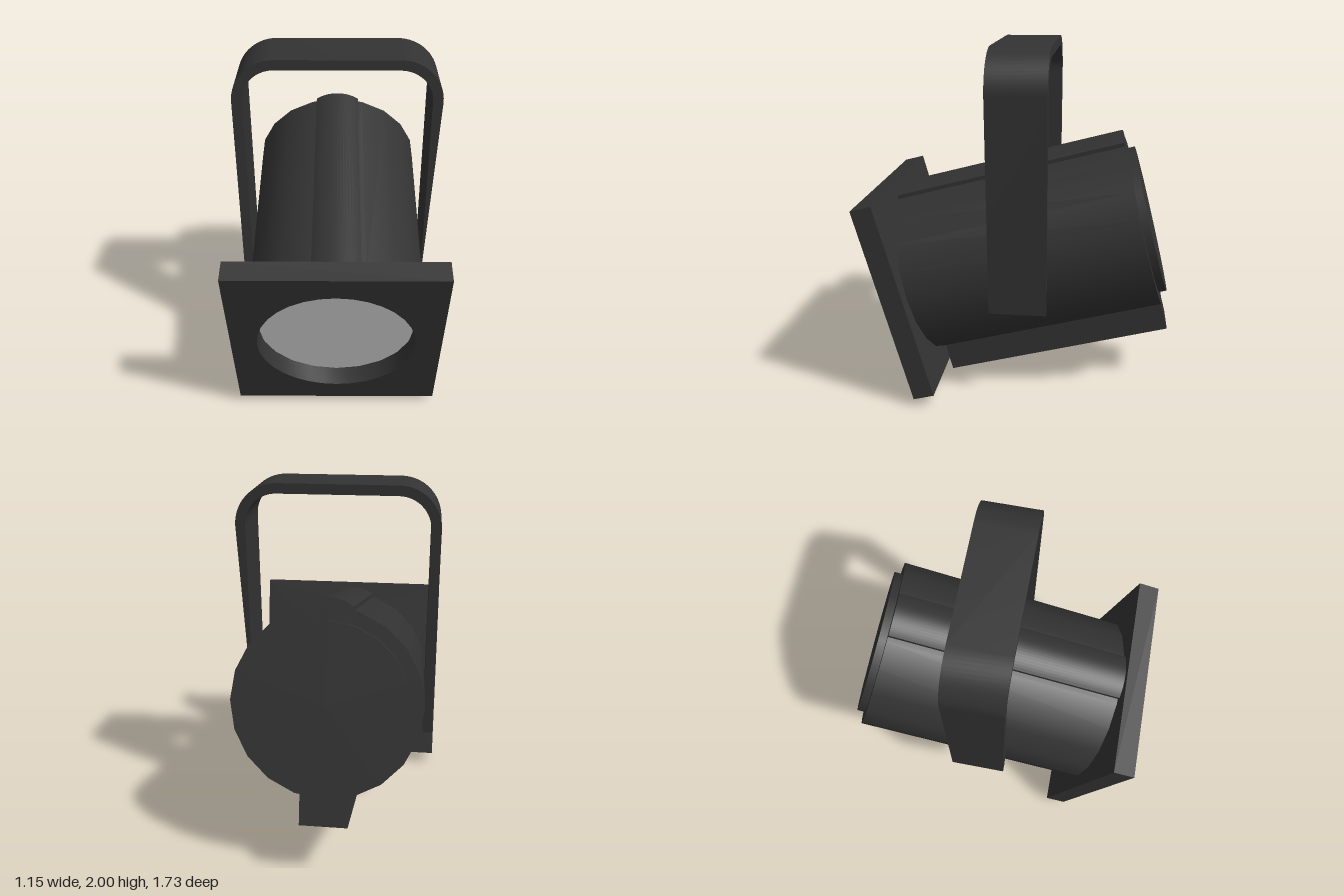
import * as THREE from 'three';
import { toCreasedNormals } from 'three/addons/utils/BufferGeometryUtils.js';

const black = new THREE.MeshStandardMaterial({ color: 0x333333 });
const glass = new THREE.MeshStandardMaterial({ color: 0xcccccc });

const AXIS = 0.765;              // height of the lamp axis before tilting
const BACK = -0.926, FRONT = 0.418; // ends of the housing along the axis
const SIDES = 20;

function add(parent, name, geometry, material = black) {
  const mesh = new THREE.Mesh(geometry, material);
  mesh.name = name;
  parent.add(mesh);
  return mesh;
}

// Cylinder lying along z between two ends
function barrel(radius, z0, z1) {
  return new THREE.CylinderGeometry(radius, radius, z1 - z0, SIDES)
    .rotateX(Math.PI / 2).translate(0, AXIS, (z0 + z1) / 2);
}

// Extrusion of an xy outline between two z values, smooth on its curves
function slab(shape, z0, z1, curveSegments) {
  const g = new THREE.ExtrudeGeometry(shape, { depth: z1 - z0, bevelEnabled: false, curveSegments });
  return toCreasedNormals(g.translate(0, 0, z0), Math.PI / 6);
}

export function createModel() {
  const model = new THREE.Group();
  model.name = 'spotlight';

  // Lamp head, tipped forward
  const head = new THREE.Group();
  head.name = 'lampHead';
  head.rotation.x = THREE.MathUtils.degToRad(15);
  model.add(head);

  add(head, 'housing', barrel(0.5, BACK, FRONT));
  add(head, 'backCap', barrel(0.43, -0.97, BACK));

  // Square front plate with a round opening
  const h = 0.574;
  const plate = new THREE.Shape([
    new THREE.Vector2(-h, AXIS - h), new THREE.Vector2(h, AXIS - h),
    new THREE.Vector2(h, AXIS + h), new THREE.Vector2(-h, AXIS + h),
  ]);
  plate.holes.push(new THREE.Path().absarc(0, AXIS, 0.43, 0, Math.PI * 2, true));
  add(head, 'frontPlate', slab(plate, FRONT, 0.538, 16));

  // Lens set back in the opening
  add(head, 'lens', new THREE.CircleGeometry(0.43, SIDES).translate(0, AXIS, 0.432), glass);

  // Rounded rib along the top
  const w = 0.128, sag = 0.043, shoulder = 1.267;
  const r = (w * w + sag * sag) / (2 * sag);
  const a = Math.asin(w / r);
  const rib = new THREE.Shape();
  rib.moveTo(-w, 1.2);
  rib.lineTo(w, 1.2);
  rib.lineTo(w, shoulder);
  rib.absarc(0, shoulder + sag - r, r, Math.PI / 2 - a, Math.PI / 2 + a, false);
  add(head, 'topRib', slab(rib, BACK, FRONT, 8));

  // Box under the housing
  add(head, 'bottomBox', new THREE.BoxGeometry(0.256, 0.225, 1.34)
    .translate(0, 0.2275, -0.251));

  // Upright yoke: a bent strap with rounded corners
  const X = 0.555, T = 0.055, R = 0.23, LOW = 0.57, TOP = 2;
  const yoke = new THREE.Shape();
  yoke.moveTo(X, LOW);
  yoke.absarc(X - R, TOP - R, R, 0, Math.PI / 2, false);
  yoke.absarc(R - X, TOP - R, R, Math.PI / 2, Math.PI, false);
  yoke.lineTo(-X, LOW);
  yoke.lineTo(T - X, LOW);
  yoke.absarc(R - X, TOP - R, R - T, Math.PI, Math.PI / 2, true);
  yoke.absarc(X - R, TOP - R, R - T, Math.PI / 2, 0, true);
  yoke.lineTo(X - T, LOW);
  add(model, 'yoke', slab(yoke, -0.177, 0.143, 8)).position.x = 0.003;

  return model;
}
